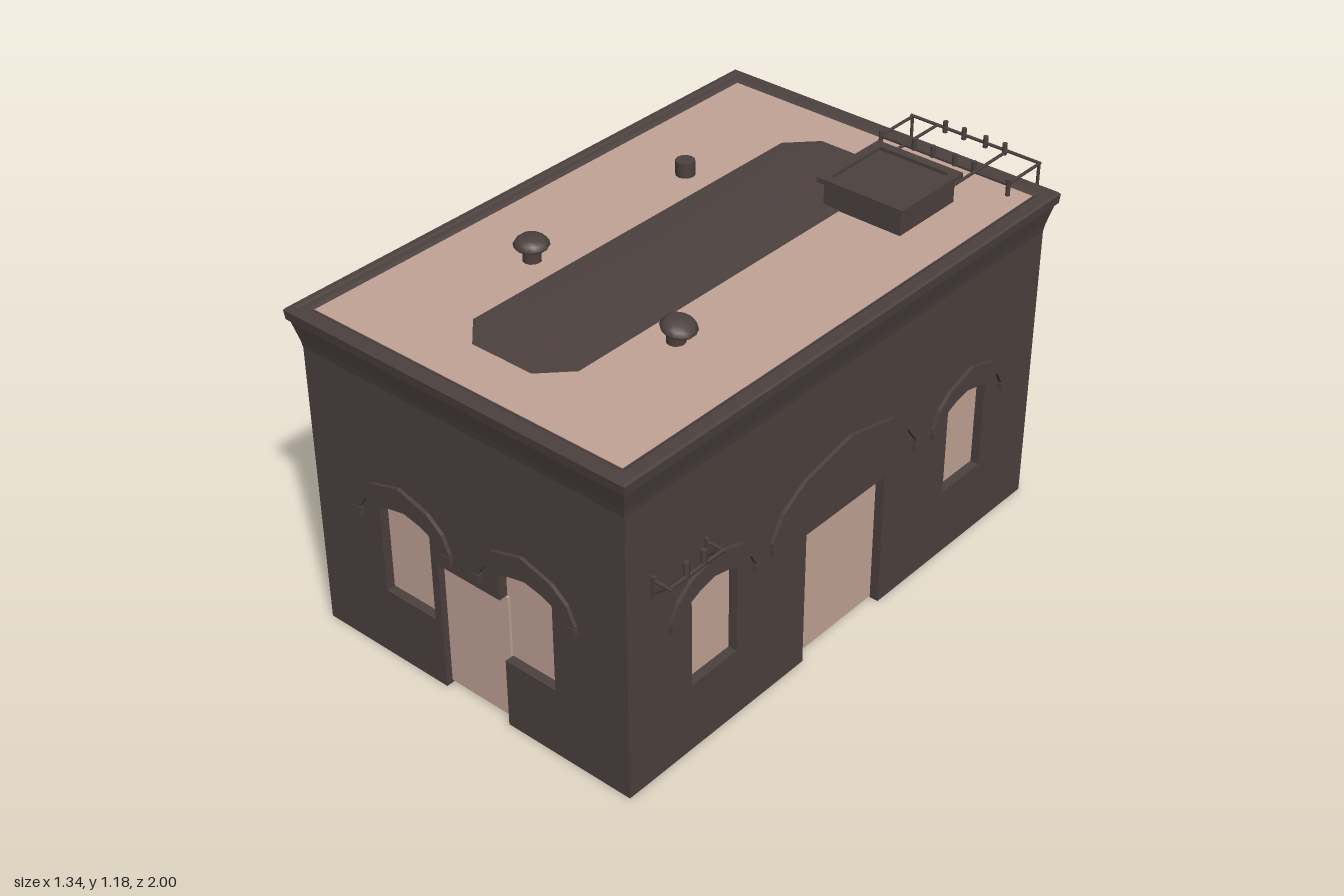
import * as THREE from 'three';

const dark = new THREE.MeshStandardMaterial({ color: 0x4c413f });
dark.name = 'dark masonry';
const tan = new THREE.MeshStandardMaterial({ color: 0xc1a396 });
tan.name = 'tan lining';

const HX = 0.6, HZ = 0.9375, CZ = 0.0275, T = 0.03; // wall half sizes, z centre, thickness

function add(parent, name, geo, mat, x = 0, y = 0, z = 0) {
  const m = new THREE.Mesh(geo, mat);
  m.name = name;
  m.position.set(x, y, z);
  parent.add(m);
  return m;
}
const box = (w, h, d) => new THREE.BoxGeometry(w, h, d);
const toShape = pts => new THREE.Shape(pts.map(p => new THREE.Vector2(...p)));
const extrude = (shape, depth) => new THREE.ExtrudeGeometry(shape, { depth, bevelEnabled: false });

function surface(pos, idx) {
  const geo = new THREE.BufferGeometry();
  geo.setAttribute('position', new THREE.Float32BufferAttribute(pos, 3));
  if (idx) geo.setIndex(idx);
  geo.computeVertexNormals();
  return geo;
}

// Drops the faces lying on the ground, leaving the slab open underneath
function openBase(geo) {
  const p = geo.attributes.position, pos = [];
  for (let i = 0; i < p.count; i += 3) {
    if (Math.max(p.getY(i), p.getY(i + 1), p.getY(i + 2)) < 0.001) continue;
    for (let k = i; k < i + 3; k++) pos.push(p.getX(k), p.getY(k), p.getZ(k));
  }
  return surface(pos);
}

// Round bar between two points
function bar(parent, name, a, b, r = 0.005) {
  const A = new THREE.Vector3(...a), B = new THREE.Vector3(...b), d = B.clone().sub(A);
  const m = add(parent, name, new THREE.CylinderGeometry(r, r, d.length(), 6), dark);
  m.position.copy(A).add(B).multiplyScalar(0.5);
  m.quaternion.setFromUnitVectors(new THREE.Vector3(0, 1, 0), d.normalize());
}

// Window outline with a low pointed head
const windowPts = (u, h) => [[u - h, 0.235], [u + h, 0.235], [u + h, 0.53], [u + h * 0.6, 0.547],
  [u, 0.56], [u - h * 0.6, 0.547], [u - h, 0.53]];

// Raised hood moulding over an opening
function hood(parent, u, a, foot, h) {
  const outer = [[a, 0], [a, 0.2 * h], [0.86 * a, 0.54 * h], [0.58 * a, 0.8 * h], [0, h]];
  const inner = [[0, h - 0.035], [0.58 * a - 0.012, 0.8 * h - 0.033], [0.86 * a - 0.024, 0.54 * h - 0.022],
    [a - 0.03, 0.18 * h], [a - 0.03, 0]];
  const mirror = pts => pts.slice().reverse().filter(p => p[0] > 0).map(([x, y]) => [-x, y]);
  add(parent, 'archHood', extrude(toShape([...outer, ...mirror(outer), ...mirror(inner), ...inner]), 0.012), dark, u, foot);
  for (const s of [-1, 1]) add(parent, 'hoodFoot', box(0.034, 0.025, 0.014), dark, u + s * (a - 0.015), foot + 0.0125, 0.007);
}

// Wall slab: notch cuts the doorway from the base line, windows are holes
function wall(name, halfW, notch, windows, winHalf, blind) {
  const g = new THREE.Group();
  g.name = name;
  const shape = toShape([[-halfW, 0], ...notch, [halfW, 0], [halfW, 1.05], [-halfW, 1.05]]);
  for (const u of windows) {
    const pts = windowPts(u, winHalf);
    shape.holes.push(new THREE.Path(pts.map(p => new THREE.Vector2(...p))));
    if (blind) add(g, 'blindWindow', extrude(toShape(pts), 0.008), dark, 0, 0, -T + 0.001);
  }
  add(g, 'wallSlab', openBase(extrude(shape, T)), dark, 0, 0, -T);
  return g;
}

// Rectangular moulding swept around the building from [overhang, height] pairs
function rectLoft(profile) {
  const pos = [];
  const ring = ([d, y]) => [[-1, 1], [1, 1], [1, -1], [-1, -1]].map(([sx, sz]) => [sx * (HX + d), y, CZ + sz * (HZ + d)]);
  for (let i = 0; i + 1 < profile.length; i++) {
    const a = ring(profile[i]), b = ring(profile[i + 1]);
    for (let k = 0; k < 4; k++) {
      const n = (k + 1) % 4;
      pos.push(...a[k], ...a[n], ...b[n], ...a[k], ...b[n], ...b[k]);
    }
  }
  return surface(pos);
}

// Low crowned patch along the middle of the roof, from [z, halfWidth, crownHeight] rows
function crownPatch() {
  const rows = [[-0.74, 0.11, 1.086], [-0.65, 0.197, 1.092], [-0.4, 0.197, 1.1], [0.45, 0.197, 1.1],
    [0.69, 0.197, 1.092], [0.78, 0.11, 1.086]];
  const pos = [], idx = [];
  rows.forEach(([z, w, h], i) => {
    pos.push(-w - 0.004, 1.0855, z, -0.004, h, z, w - 0.004, 1.0855, z);
    if (i) for (let k = 0; k < 2; k++) {
      const a = (i - 1) * 3 + k, b = i * 3 + k;
      idx.push(a, b, b + 1, a, b + 1, a + 1);
    }
  });
  return surface(pos, idx);
}

// Roof vent with a domed cap
function vent(parent, x, z, tilt) {
  const g = new THREE.Group();
  g.name = 'roofVent';
  add(g, 'ventStem', new THREE.CylinderGeometry(0.028, 0.028, 0.06, 12), dark, 0, 0.02);
  const pts = [[0, 0.042], [0.03, 0.042], [0.05, 0.046], [0.054, 0.053], [0.046, 0.066], [0.032, 0.077], [0, 0.079]];
  const cap = add(g, 'ventCap', new THREE.LatheGeometry(pts.map(p => new THREE.Vector2(...p)), 14), dark);
  cap.rotation.z = tilt;
  g.position.set(x, 1.083, z);
  parent.add(g);
}

// Small bracket shelf on a side wall; s is the side
function bracket(parent, s, z0, z1, arms, pegs) {
  const g = new THREE.Group();
  g.name = 'wallBracket';
  const X = s * 0.662;
  bar(g, 'bracketRail', [X, 0.705, z0], [X, 0.705, z1], 0.007);
  for (const z of arms) {
    bar(g, 'bracketArm', [s * 0.6, 0.703, z], [s * 0.672, 0.703, z], 0.006);
    bar(g, 'bracketBrace', [s * 0.6, 0.655, z], [s * 0.65, 0.7, z]);
    add(g, 'bracketPlate', box(0.012, 0.07, 0.012), dark, s * 0.606, 0.68, z);
  }
  for (const z of pegs) add(g, 'insulator', new THREE.CylinderGeometry(0.009, 0.009, 0.05, 8), dark, X, 0.728, z);
  parent.add(g);
}

// Pipe rack on the roof edge and down the rear wall
function rearRack(parent) {
  const g = new THREE.Group();
  g.name = 'rearRack';
  const xs = [0.045, 0.515], Z = -0.992;
  for (const x of xs) {
    bar(g, 'rackUpright', [x, 1.13, Z], [x, 0.755, Z]);
    bar(g, 'rackEnd', [x, 1.125, Z], [x, 1.125, -0.83]);
    bar(g, 'rackPost', [x, 1.085, -0.83], [x, 1.14, -0.83], 0.007);
    bar(g, 'rackArm', [x, 0.762, -0.91], [x, 0.762, -0.997], 0.006);
    bar(g, 'rackBrace', [x, 0.71, -0.91], [x, 0.76, -0.985]);
  }
  for (const x of [0.14, 0.4]) bar(g, 'rackBeam', [x, 1.128, Z], [x, 1.128, -0.71]);
  for (const [y, z] of [[1.128, Z], [1.123, -0.83], [0.96, Z], [0.87, Z], [0.765, Z], [0.765, -0.945]])
    bar(g, 'rackRail', [xs[0] - 0.006, y, z], [xs[1] + 0.006, y, z]);
  const peg = new THREE.CylinderGeometry(0.008, 0.008, 0.038, 8);
  for (const x of [0.17, 0.24, 0.32, 0.39])
    for (const [y, z] of [[1.132, Z], [1.137, -0.83], [0.877, Z], [0.782, Z]]) add(g, 'insulator', peg, dark, x, y, z);
  parent.add(g);
}

export function createModel() {
  const root = new THREE.Group();
  root.name = 'brickBuilding';

  // Inner core seen through the openings, as the roof surface and as the floor underside
  add(root, 'innerCore', box(2 * (HX - T), 1.078, 2 * (HZ - T)), tan, 0, 0.544, CZ);

  // Front: doorway joined to the window beside it
  const frontNotch = [[-0.11, 0], [-0.11, 0.445], [0.13, 0.445], [0.13, 0.53], [0.17, 0.547], [0.23, 0.56],
    [0.29, 0.547], [0.33, 0.53], [0.33, 0.235], [0.14, 0.235], [0.14, 0]];
  const front = wall('frontWall', HX, frontNotch, [-0.238], 0.1, false);
  add(front, 'doorPanel', box(0.25, 0.435, 0.008), tan, 0.015, 0.2275, -T + 0.004);
  front.position.z = CZ + HZ;
  const back = wall('backWall', HX, [], [-0.235, 0.235], 0.1, true);
  back.position.z = CZ - HZ;
  back.rotation.y = Math.PI;
  for (const w of [front, back]) for (const u of [-0.243, 0.228]) hood(w, u, 0.194, 0.48, 0.168);
  root.add(front, back);

  // Sides: doorway between two windows, blind windows on the -x side
  for (const s of [1, -1]) {
    const doorway = [[-0.183, 0], [-0.183, 0.465], [0.183, 0.465], [0.183, 0]];
    const side = wall(s > 0 ? 'leftWall' : 'rightWall', HZ - T, doorway, [-0.583, 0.59], 0.096, s < 0);
    for (const u of [-0.58, 0.598]) hood(side, u, 0.19, 0.48, 0.165);
    hood(side, 0, 0.348, 0.49, 0.225);
    side.position.set(s * HX, 0, CZ);
    side.rotation.y = s * Math.PI / 2;
    root.add(side);
  }

  // Cornice and roof
  add(root, 'cornice', rectLoft([[0.0, 0.96], [0.004, 0.985], [0.02, 1.05], [0.028, 1.055], [0.031, 1.085],
    [0.025, 1.092], [0.008, 1.092], [0.004, 1.087], [-0.015, 1.087], [-0.032, 1.08]]), dark);
  add(root, 'roofCrown', crownPatch(), dark);

  // Roof hatch
  add(root, 'hatchBody', box(0.28, 0.085, 0.265), dark, 0.273, 1.125, -0.565);
  for (const s of [-1, 1]) {
    add(root, 'hatchRim', box(0.03, 0.016, 0.3), dark, 0.273 + s * 0.141, 1.171, -0.565);
    add(root, 'hatchRim', box(0.252, 0.016, 0.03), dark, 0.273, 1.171, -0.565 + s * 0.135);
  }

  // Vents, brackets and rack
  vent(root, -0.3, 0.355, 0);
  vent(root, 0.29, 0.41, -0.2);
  add(root, 'ventPipe', new THREE.CylinderGeometry(0.031, 0.031, 0.05, 12), dark, -0.3, 1.106, -0.31);
  bracket(root, 1, 0.65, 0.865, [0.65, 0.865], [0.73, 0.8]);
  bracket(root, -1, -0.82, -0.69, [-0.82], []);
  rearRack(root);
  return root;
}
